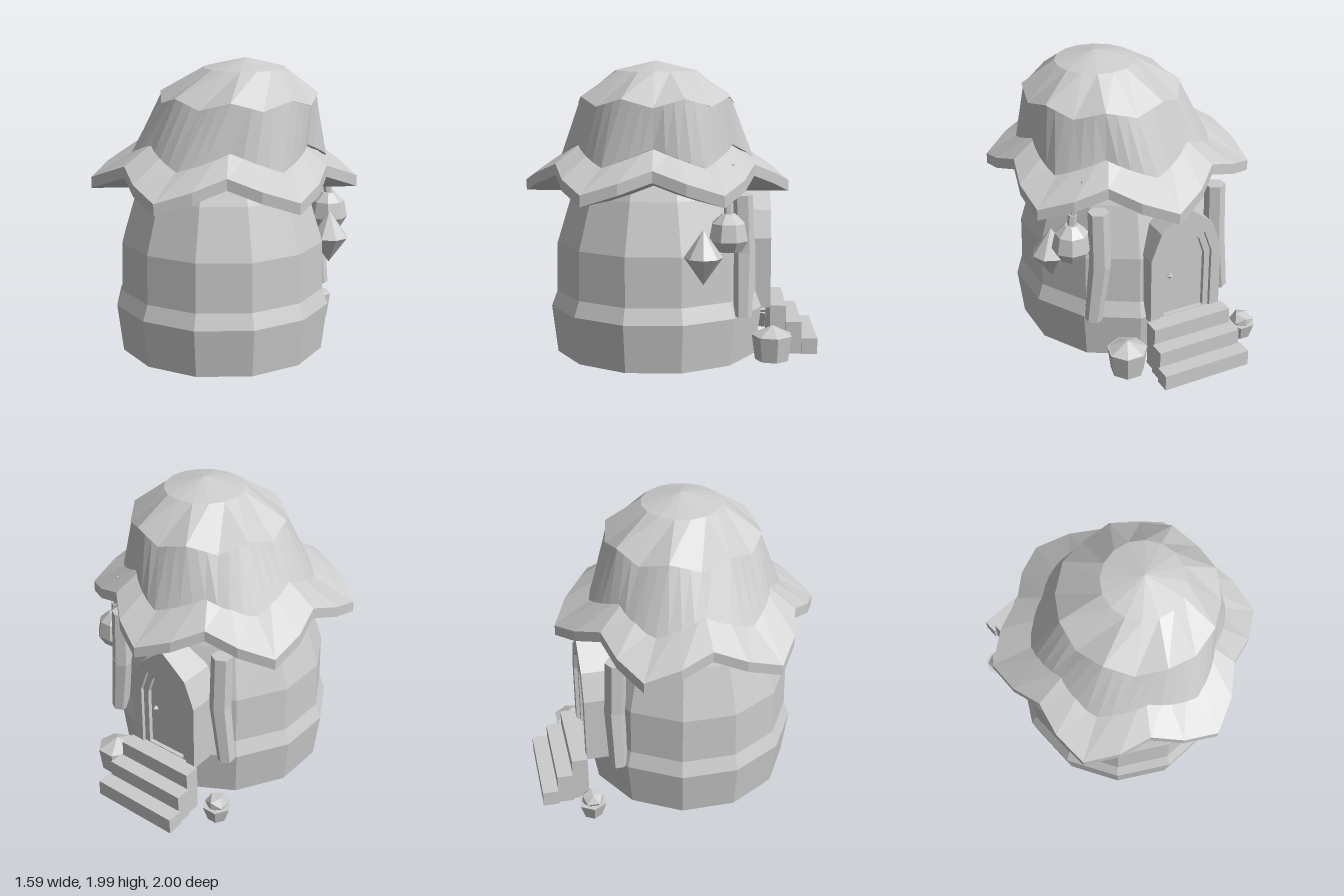
import * as THREE from 'three';

const stone = new THREE.MeshStandardMaterial({ color: 0xcccccc, flatShading: true, side: THREE.DoubleSide });
stone.name = 'pale grey';

export function createModel() {
  const model = new THREE.Group();
  model.name = 'mushroomHouse';

  const add = (name, geometry, x = 0, y = 0, z = 0, parent = model) => {
    const mesh = new THREE.Mesh(geometry, stone);
    mesh.name = name;
    mesh.position.set(x, y, z);
    parent.add(mesh);
    return mesh;
  };

  // Skin between rings listed bottom to top; each ring maps an angle to [radius, y, centreX, centreZ]
  const loft = (rings, segments, phase = 0) => {
    const position = [];
    const point = (ring, i) => {
      const a = phase + ((i % segments) / segments) * Math.PI * 2;
      const [r, y, cx] = ring(a);
      return [cx + r * Math.sin(a), y, 0.1 + r * Math.cos(a)];
    };
    for (let k = 0; k < rings.length - 1; k++) {
      for (let i = 0; i < segments; i++) {
        const a = point(rings[k], i), b = point(rings[k], i + 1);
        const c = point(rings[k + 1], i + 1), d = point(rings[k + 1], i);
        position.push(...a, ...b, ...c, ...a, ...c, ...d);
      }
    }
    const g = new THREE.BufferGeometry();
    g.setAttribute('position', new THREE.Float32BufferAttribute(position, 3));
    g.computeVertexNormals();
    return g;
  };
  // Zigzag with n peaks around the circle, 1 at a peak and 0 between
  const wave = (a, n) => Math.acos(Math.cos(a * n)) / -Math.PI + 1;

  // Twelve-sided stem, open underneath
  const stem = [[0.7, 0], [0.74, 0.325], [0.7, 0.43], [0.695, 0.76], [0.59, 1.1], [0.5, 1.3]];
  add('stemWall', loft(stem.map(([r, y]) => () => [r, y, -0.02]), 12, Math.PI / 12));

  // Brim with a shallow underside that dips to the centre
  add('capBrim', loft([
    () => [0, 1.1, 0],
    (a) => [0.75 + 0.15 * wave(a, 6), 1.25 - 0.15 * wave(a, 6), 0],
    (a) => [0.75 + 0.15 * wave(a, 6), 1.325 - 0.15 * wave(a, 6), 0],
    (a) => [0.5 + 0.06 * wave(a, 6), 1.5 - 0.11 * wave(a, 6), 0.02],
  ], 24));
  // Middle tier running up to meet the scalloped dome
  add('capMiddle', loft([
    (a) => [0.53 + 0.07 * wave(a, 6), 1.44 - 0.115 * wave(a, 6), 0.03],
    (a) => [0.585 + 0.075 * wave(a, 6), 1.45 - 0.125 * wave(a, 6), 0.03],
    (a) => [0.512, 1.76 - 0.055 * wave(a, 8), 0.11],
  ], 48));
  add('capDome', loft([
    (a) => [0.525, 1.76 - 0.055 * wave(a, 8), 0.11],
    () => [0.27, 1.925, 0.15],
    () => [0, 1.99, 0.16],
  ], 16));

  // Three hollow steps leading to the door
  const doorX = -0.125;
  for (let i = 0; i < 3; i++) {
    const box = new THREE.BoxGeometry(0.63 - i * 0.03, 0.11 * (i + 1), 0.108);
    box.setIndex([...box.index.array].filter((_, k) => k < 18 || k >= 24));
    box.clearGroups();
    add('step', box, doorX, 0.055 * (i + 1), -0.946 + i * 0.107);
  }

  // Pointed arch doorway
  const arch = (w, spring, top, base = 0, path = new THREE.Shape()) => {
    path.moveTo(-w, base);
    path.lineTo(w, base);
    path.lineTo(w, spring);
    path.lineTo(w * 0.72, spring + (top - spring) * 0.55);
    path.lineTo(0, top);
    path.lineTo(-w * 0.72, spring + (top - spring) * 0.55);
    path.lineTo(-w, spring);
    path.closePath();
    return path;
  };
  const extrude = (shape, depth) => new THREE.ExtrudeGeometry(shape, { depth, bevelEnabled: false });
  const ring = (outer, inner) => {
    outer.holes.push(inner);
    return outer;
  };
  const doorway = new THREE.Group();
  doorway.name = 'doorway';
  doorway.position.set(doorX, 0.31, 0);
  model.add(doorway);
  add('doorFrame', extrude(ring(arch(0.26, 0.48, 0.82), arch(0.19, 0.45, 0.72, 0.01, new THREE.Path())), 0.24), 0, 0, -0.68, doorway);
  add('innerFrame', extrude(ring(arch(0.195, 0.45, 0.725), arch(0.15, 0.43, 0.65, 0.015, new THREE.Path())), 0.2), 0, 0, -0.655, doorway);
  add('door', extrude(arch(0.155, 0.43, 0.655), 0.16), 0, 0, -0.625, doorway);
  add('doorKnob', new THREE.OctahedronGeometry(0.022), 0.1, 0.31, -0.64, doorway);

  // Straight tapered rod between two points
  const rod = (name, from, to, r0, r1, sides = 6) => {
    const a = new THREE.Vector3(...from), b = new THREE.Vector3(...to);
    const dir = b.clone().sub(a);
    const mesh = add(name, new THREE.CylinderGeometry(r1, r0, dir.length(), sides));
    mesh.position.copy(a).add(b).multiplyScalar(0.5);
    mesh.quaternion.setFromUnitVectors(new THREE.Vector3(0, 1, 0), dir.normalize());
  };

  // Bent posts beside the door
  for (const s of [-1, 1]) {
    const x = (v) => s * v - 0.02;
    rod('doorPost', [x(0.48), 0.33, -0.48], [x(0.43), 0.75, -0.485], 0.06, 0.072);
    rod('doorPost', [x(0.43), 0.73, -0.485], [x(0.43), 1.13, -0.47], 0.072, 0.07);
  }

  // Diamond-shaped window on the side
  const gem = add('diamondWindow', new THREE.SphereGeometry(1, 8, 2), 0.64, 0.76, -0.22);
  gem.scale.set(0.13, 0.18, 0.125);

  // Hanging lantern with its hook
  const profile = [[0, 0.79], [0.09, 0.79], [0.132, 0.86], [0.11, 0.97], [0.045, 1.03], [0, 1.03]];
  const lantern = add('lantern', new THREE.LatheGeometry(profile.map(([r, y]) => new THREE.Vector2(r, y)), 8), 0.56, 0, -0.38);
  lantern.rotation.y = Math.PI / 8;
  rod('lanternHook', [0.56, 1.02, -0.38], [0.55, 1.1, -0.38], 0.03, 0.03);
  rod('lanternHook', [0.55, 1.09, -0.38], [0.49, 1.34, -0.41], 0.02, 0.008);

  // Potted plants either side of the steps
  add('largePot', new THREE.CylinderGeometry(0.138, 0.115, 0.17, 7), 0.31, 0.085, -0.685);
  add('largePlant', new THREE.ConeGeometry(0.13, 0.065, 7), 0.31, 0.2025, -0.685);
  const smallPot = add('smallPot', new THREE.CylinderGeometry(0.1, 0.065, 0.11, 6), -0.58, 0.055, -0.68);
  smallPot.rotation.y = Math.PI / 6;
  const bush = add('smallPlant', new THREE.IcosahedronGeometry(0.08), -0.58, 0.13, -0.68);
  bush.scale.y = 0.8;

  return model;
}
